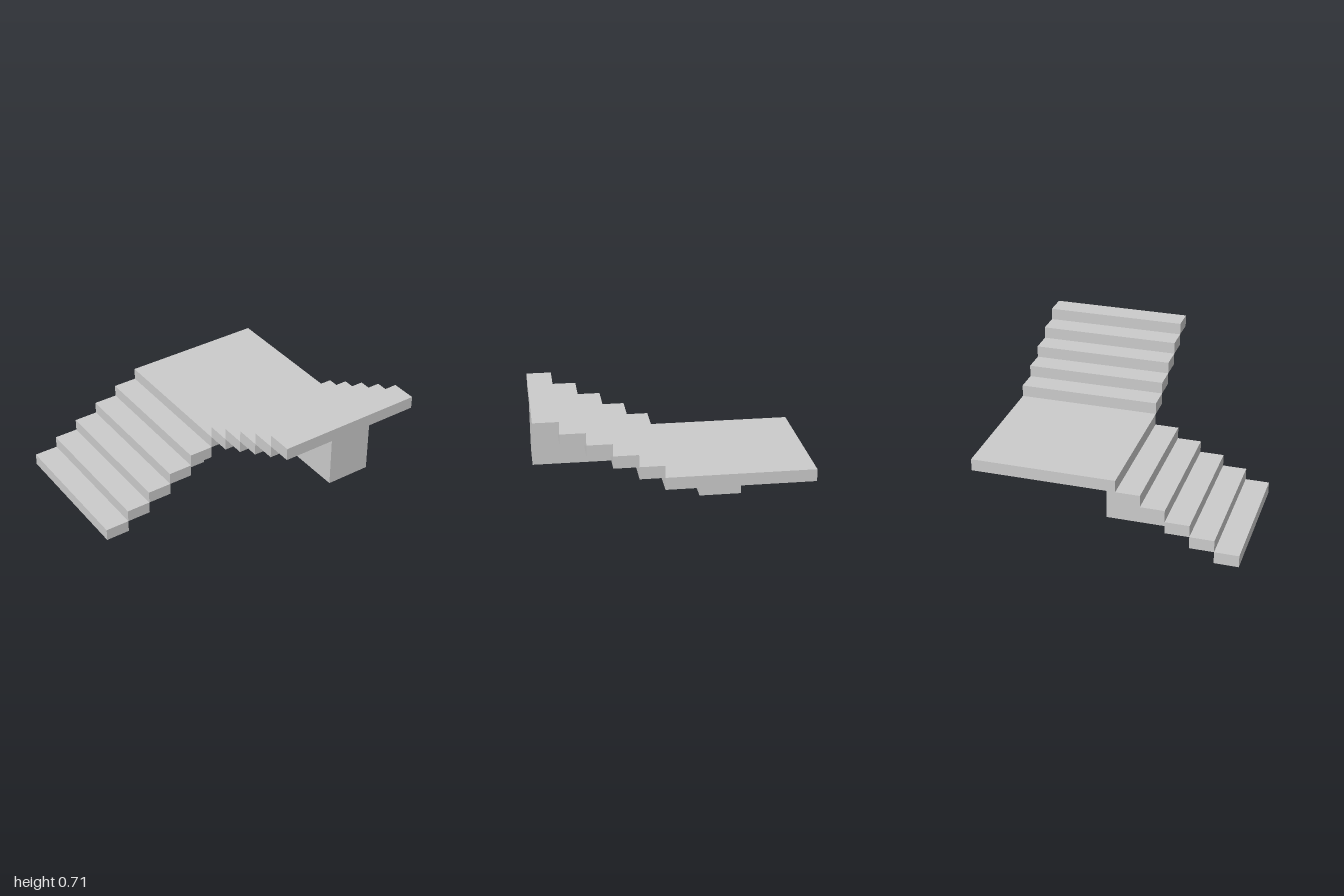
import * as THREE from 'three';

const WIDTH = 0.772;  // flight width and landing side
const TREAD = 0.129;  // depth of one step
const RISE = 0.0647;  // height of one step
const STEPS = 5;
const SPINE = WIDTH * 0.3;

const material = new THREE.MeshStandardMaterial({ color: 0xcccccc, flatShading: true });

// Box placed by its lowest corner
function slab(name, x, y, z, w, h, d) {
  const geometry = new THREE.BoxGeometry(w, h, d).translate(x + w / 2, y + h / 2, z + d / 2);
  const mesh = new THREE.Mesh(geometry, material);
  mesh.name = name;
  return mesh;
}

// Flight climbing along +x, with a narrow stepped spine under the middle.
// spineEnd is the number of the last step position the spine carries.
function flight(name, spineEnd) {
  const group = new THREE.Group();
  group.name = name;
  for (let i = 0; i < STEPS; i++) {
    group.add(slab('step' + (i + 1), i * TREAD, i * RISE, 0, TREAD, RISE, WIDTH));
  }
  const outline = new THREE.Shape().moveTo(TREAD, 0);
  for (let i = 1; i <= spineEnd; i++) {
    outline.lineTo(i * TREAD, i * RISE).lineTo((i + 1) * TREAD, i * RISE);
  }
  outline.lineTo((spineEnd + 1) * TREAD, 0).closePath();
  const geometry = new THREE.ExtrudeGeometry(outline, { depth: SPINE, bevelEnabled: false });
  const spine = new THREE.Mesh(geometry, material);
  spine.name = 'supportSpine';
  spine.position.z = (WIDTH - SPINE) / 2;
  group.add(spine);
  return group;
}

export function createModel() {
  const model = new THREE.Group();
  model.name = 'cornerStaircase';

  // Square landing at the corner
  const stairs = new THREE.Group();
  stairs.name = 'stairs';
  stairs.add(slab('landing', 0, STEPS * RISE, 0, WIDTH, RISE, WIDTH));

  // Lower flight, whose spine also reaches under the landing
  const lower = flight('lowerFlight', STEPS);
  lower.position.z = WIDTH + STEPS * TREAD;
  lower.rotation.y = Math.PI / 2;
  stairs.add(lower);

  // Upper flight, turning a right angle off the landing
  const upper = flight('upperFlight', STEPS - 1);
  upper.position.set(WIDTH, (STEPS + 1) * RISE, 0);
  stairs.add(upper);

  // Whole staircase stands diagonally
  stairs.rotation.y = -0.845;
  stairs.position.set(0.06, 0, -0.786);
  model.add(stairs);
  return model;
}
